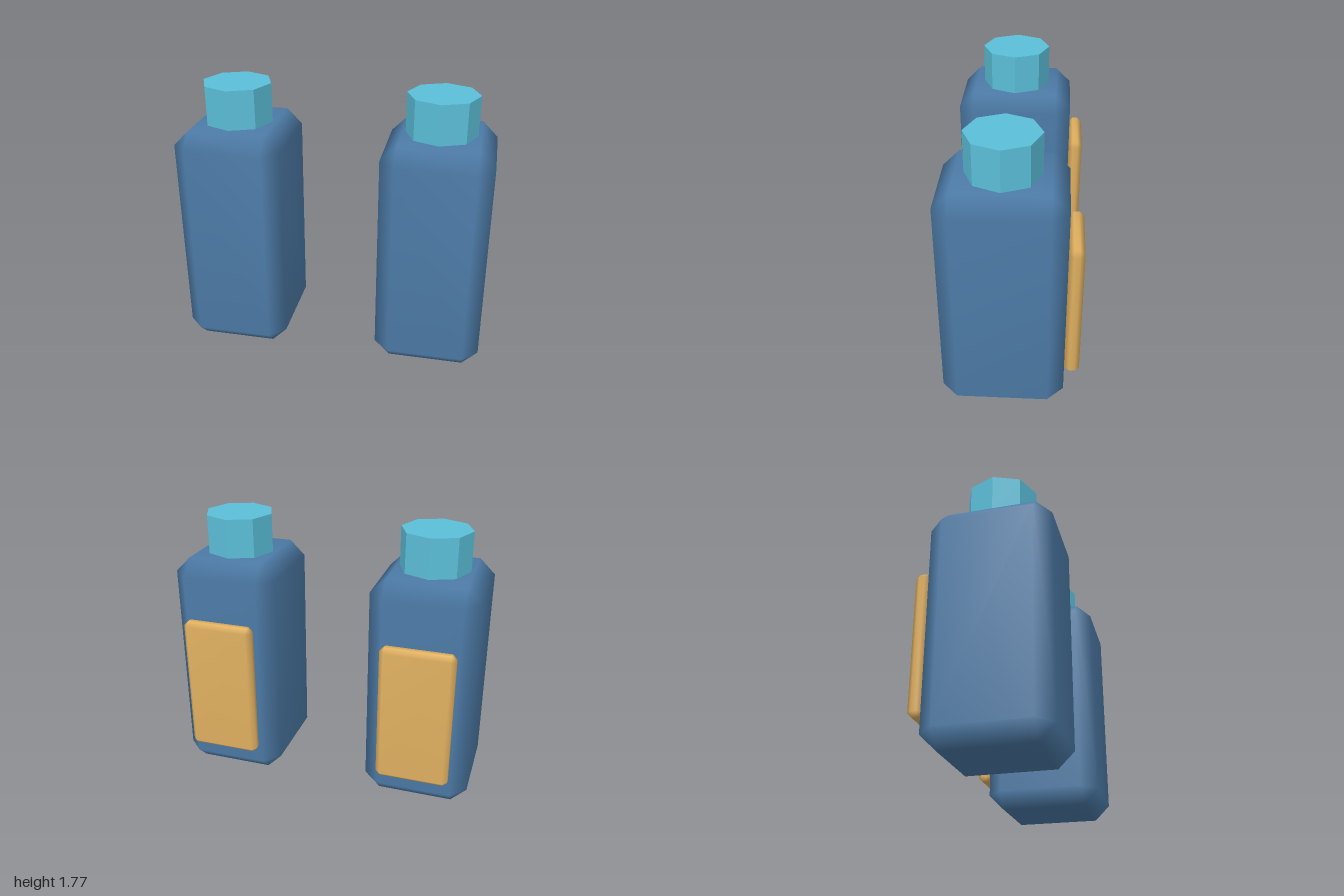
import * as THREE from 'three';
import { mergeVertices } from 'three/addons/utils/BufferGeometryUtils.js';
import { ConvexGeometry } from 'three/addons/geometries/ConvexGeometry.js';

// Box with one chamfer of width b on every edge, shaded smoothly
function chamferBox(w, h, d, b) {
  const points = [];
  for (const sx of [-1, 1]) for (const sy of [-1, 1]) for (const sz of [-1, 1]) {
    const x = w / 2, y = h / 2, z = d / 2;
    points.push(
      new THREE.Vector3(sx * x, sy * (y - b), sz * (z - b)),
      new THREE.Vector3(sx * (x - b), sy * y, sz * (z - b)),
      new THREE.Vector3(sx * (x - b), sy * (y - b), sz * z),
    );
  }
  const hull = new ConvexGeometry(points);
  hull.deleteAttribute('normal');
  const geometry = mergeVertices(hull, 1e-4);
  geometry.computeVertexNormals();
  return geometry;
}

export function createModel() {
  const blue = new THREE.MeshStandardMaterial({ color: 0x4c7aa6 });
  blue.name = 'bodyBlue';
  const cyan = new THREE.MeshStandardMaterial({ color: 0x5bbfd9 });
  cyan.name = 'capCyan';
  const gold = new THREE.MeshStandardMaterial({ color: 0xe0b060 });
  gold.name = 'plateGold';

  const bodyGeometry = chamferBox(0.69, 1.512, 0.757, 0.1);
  const plateGeometry = chamferBox(0.47, 0.92, 0.094, 0.03);
  // Eight flat sides with corners on the x and z axes
  const capGeometry = new THREE.CylinderGeometry(0.225, 0.225, 0.26, 8).toNonIndexed();
  capGeometry.computeVertexNormals();

  const model = new THREE.Group();
  model.name = 'tankPair';
  for (const [side, name] of [[1, 'leftTank'], [-1, 'rightTank']]) {
    const tank = new THREE.Group();
    tank.name = name;
    tank.position.x = side * 0.655;
    const add = (part, geometry, material, y, z) => {
      const mesh = new THREE.Mesh(geometry, material);
      mesh.name = part;
      mesh.position.set(0, y, z);
      tank.add(mesh);
    };
    add('body', bodyGeometry, blue, 0.756, 0.047);
    add('cap', capGeometry, cyan, 1.637, 0.047);
    add('backPlate', plateGeometry, gold, 0.675, -0.379);
    model.add(tank);
  }
  return model;
}
